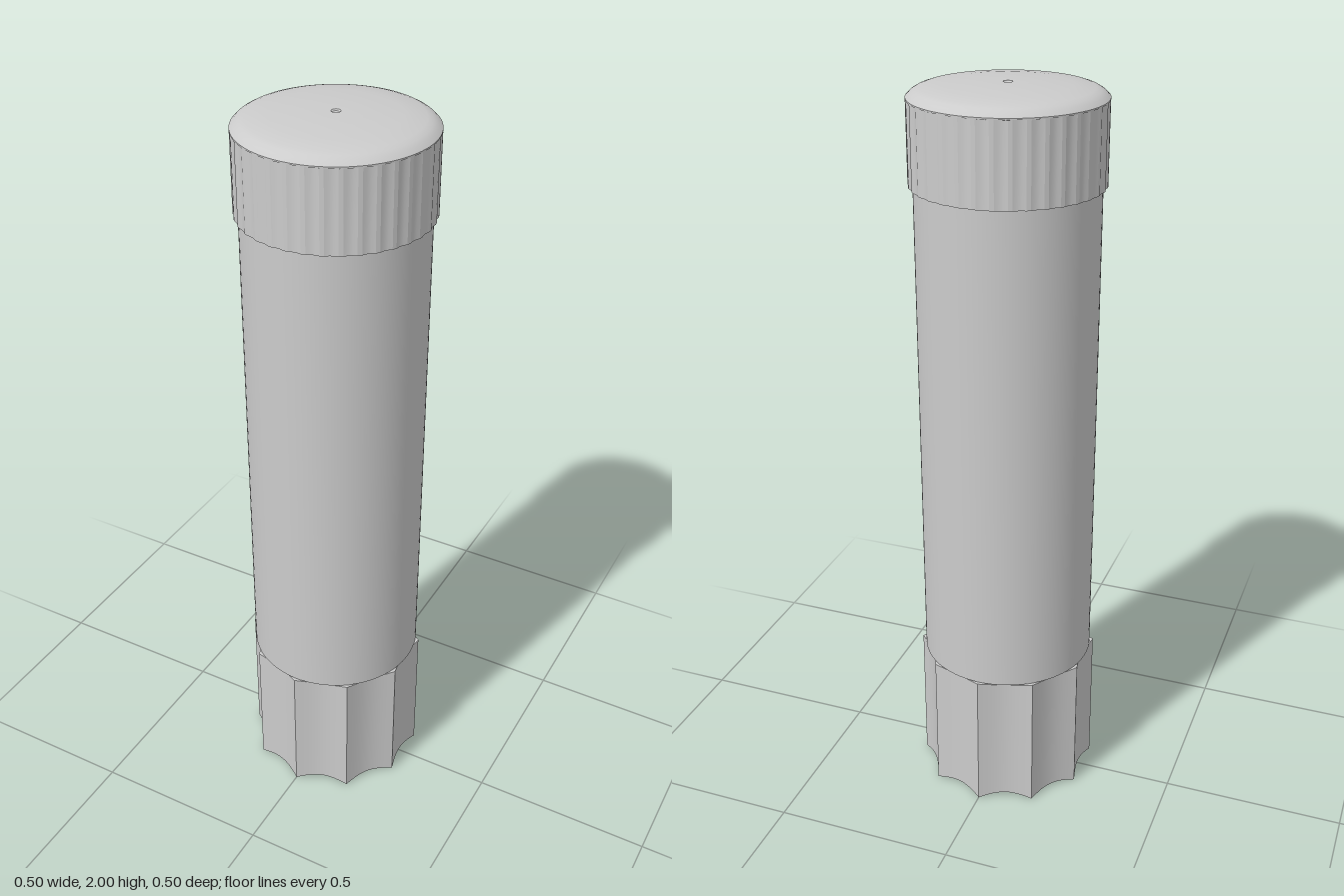
import * as THREE from 'three';
import { toCreasedNormals } from 'three/addons/utils/BufferGeometryUtils.js';

const material = new THREE.MeshStandardMaterial({ color: 0xcccccc });

function addPart(group, name, geometry, crease = 0.5) {
  const mesh = new THREE.Mesh(toCreasedNormals(geometry, crease), material);
  mesh.name = name;
  group.add(mesh);
}

function lathe(points) {
  return new THREE.LatheGeometry(points.map(([r, y]) => new THREE.Vector2(r, y)), 96);
}

// Sweep a section around the y axis; section(i) gives [radius, height] points for step i
function sweep(steps, section) {
  const positions = [], index = [];
  const count = section(0).length;
  for (let i = 0; i <= steps; i++) {
    const a = ((i % steps) / steps) * Math.PI * 2;
    for (const [r, y] of section(i % steps)) positions.push(r * Math.sin(a), y, r * Math.cos(a));
  }
  for (let i = 0; i < steps; i++) {
    for (let j = 0; j < count - 1; j++) {
      const p = i * count + j, q = p + count;
      index.push(p, q, q + 1, p, q + 1, p + 1);
    }
  }
  const geometry = new THREE.BufferGeometry();
  geometry.setAttribute('position', new THREE.Float32BufferAttribute(positions, 3));
  geometry.setIndex(index);
  return geometry;
}

export function createModel() {
  const group = new THREE.Group();

  // Plain cylindrical body with a closed underside
  addPart(group, 'body', lathe([[0, 0.4], [0.238, 0.4], [0.238, 1.78]]));

  // Hollow base with ten concave flutes; its rims dip in the middle of each flute
  const flutes = 10, perFlute = 12;
  addPart(group, 'flutedBase', sweep(flutes * perFlute, (i) => {
    const t = ((i % perFlute) / perFlute) * 2 - 1;
    const dip = 1 - t * t;
    const r = 0.248 - 0.024 * dip;
    const low = 0.012 * dip, high = 0.4 - 0.01 * dip;
    return [[r, low], [r, high], [0.214, high], [0.214, low], [r, low]];
  }));

  // Cap skirt with fine vertical ribs
  addPart(group, 'capSkirt', sweep(144, (i) => {
    const r = i % 4 < 2 ? 0.25 : 0.247;
    return [[0.23, 1.75], [r, 1.75], [r, 1.962]];
  }), 0.3);

  // Rounded cap edge, shallow dome and small centre dimple
  addPart(group, 'capTop', lathe([
    [0.246, 1.961], [0.25, 1.962], [0.25, 1.966], [0.24, 1.976], [0.228, 1.983], [0.213, 1.988],
    [0.16, 1.994], [0.1, 1.998], [0.05, 2], [0.012, 2], [0.008, 1.997], [0, 1.996],
  ]), 0.35);

  return group;
}
